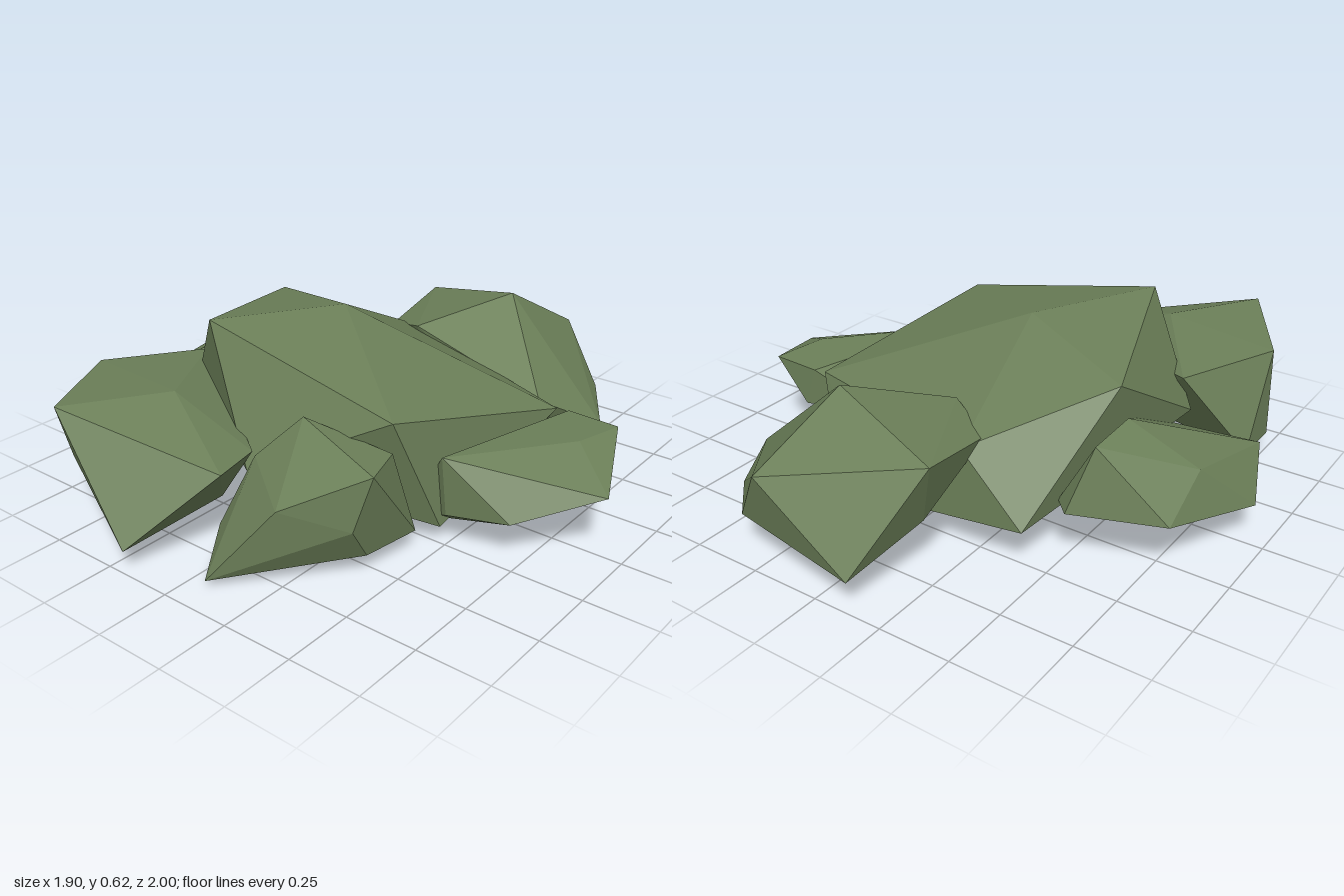
import * as THREE from 'three';
import { ConvexGeometry } from 'three/addons/geometries/ConvexGeometry.js';

export function createModel() {
  const group = new THREE.Group();
  group.name = 'facetedClump';
  const green = new THREE.MeshStandardMaterial({ color: 0x6b7f58, flatShading: true });
  green.name = 'mossGreen';

  // Each lobe is the faceted hull of a few corner points.
  function addLobe(name, corners) {
    const points = corners.map(([x, y, z]) => new THREE.Vector3(x, y, z));
    const mesh = new THREE.Mesh(new ConvexGeometry(points), green);
    mesh.name = name;
    group.add(mesh);
  }

  // Large central mass
  addLobe('centreLobe', [
    [-0.36, 0.62, 0.41], [-0.12, 0.61, -0.01], [0.4, 0.46, 0.4], [0.58, 0.31, -0.29],
    [-0.56, 0.53, -0.18], [-0.2, 0.36, -0.53], [-0.44, 0.15, -0.55], [0.1, 0.08, -0.55],
    [-0.6, 0.27, 0.26], [-0.06, 0.22, 0.57], [0.48, 0.06, 0.25], [-0.12, 0.015, 0.19],
    [0.45, 0.15, -0.4],
  ]);

  // Tall lobe at the back
  addLobe('backLobe', [
    [0.16, 0.53, -0.66], [-0.07, 0.43, -0.37], [-0.24, 0.38, -0.45], [-0.27, 0.43, -0.77],
    [-0.2, 0.2, -0.72], [-0.13, 0.11, -1], [0.23, 0.34, -0.99], [0.35, 0.14, -0.94],
    [0.45, 0.17, -0.83], [0.61, 0.155, -0.57], [0.47, 0.28, -0.36], [0.4, 0.15, -0.37],
    [0.1, 0.045, -0.65], [0, 0.15, -0.42],
  ]);

  // Lobe on the -x side
  addLobe('rightLobe', [
    [-0.95, 0.13, 0.03], [-0.86, 0.23, 0.25], [-0.83, 0.31, -0.15], [-0.83, 0.2, -0.34],
    [-0.53, 0.2, -0.45], [-0.47, 0.2, -0.39], [-0.59, 0.42, -0.38], [-0.6, 0.44, -0.2],
    [-0.45, 0.2, 0.25], [-0.45, 0.08, 0.25], [-0.6, 0.1, -0.2],
  ]);

  // Two lobes along the front
  addLobe('frontRightLobe', [
    [-0.54, 0.44, 0.93], [-0.18, 0.08, 1], [0.02, 0.31, 0.76], [-0.76, 0.42, 0.56],
    [-0.65, 0.18, 0.8], [-0.33, 0.44, 0.61], [-0.77, 0.1, 0.37], [-0.58, 0.4, 0.22],
    [-0.77, 0.1, 0.55], [-0.55, 0.07, 0.79], [-0.2, 0.07, 0.55], [-0.03, 0.3, 0.57],
  ]);
  addLobe('frontLeftLobe', [
    [0.11, 0.43, 0.48], [0.46, 0.37, 0.57], [0.07, 0.025, 0.9], [-0.04, 0.1, 0.72],
    [0.01, 0.31, 0.6], [0.25, 0.27, 0.77], [0.42, 0.19, 0.62], [0.41, 0.07, 0.54],
    [0.44, 0.07, 0.33], [0.4, 0.36, 0.4], [-0.05, 0.08, 0.42],
  ]);

  // Lobe on the +x side
  addLobe('leftLobe', [
    [0.95, 0.23, 0.03], [0.81, 0.31, -0.29], [0.77, 0.32, -0.1], [0.66, 0.17, -0.31],
    [0.62, 0.31, -0.3], [0.48, 0.31, 0.25], [0.72, 0.14, 0.22], [0.5, 0.11, 0.25],
    [0.56, 0.015, 0], [0.29, 0, 0.16], [0.4, 0.15, -0.2],
  ]);

  return group;
}
